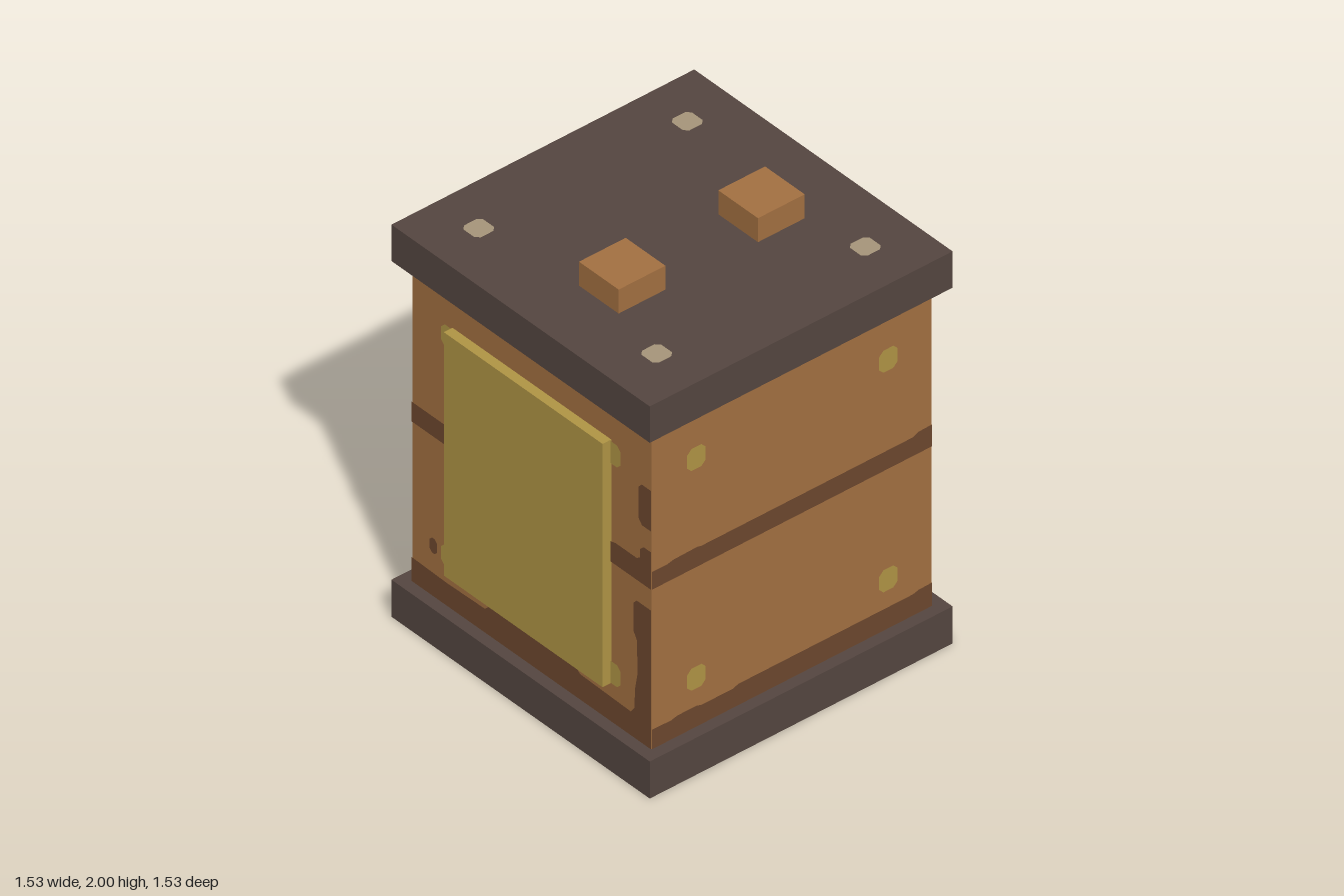
import * as THREE from 'three';

const mat = (name, color) => {
  const m = new THREE.MeshStandardMaterial({ color });
  m.name = name;
  return m;
};

export function createModel() {
  const wood = mat('wood', 0xa37041);
  const darkWood = mat('darkWood', 0x6d482e);
  const slate = mat('slate', 0x554640);
  const brass = mat('brass', 0xb09545);
  const glass = mat('glass', 0x4ec1c8);
  const stud = mat('stud', 0xa6957a);

  const model = new THREE.Group();
  model.name = 'crate';
  const H = 0.708; // half width of the body

  // Box given by its lower and upper corners
  const box = (parent, name, material, [x0, y0, z0], [x1, y1, z1]) => {
    const mesh = new THREE.Mesh(new THREE.BoxGeometry(x1 - x0, y1 - y0, z1 - z0), material);
    mesh.position.set((x0 + x1) / 2, (y0 + y1) / 2, (z0 + z1) / 2);
    mesh.name = name;
    parent.add(mesh);
  };

  // Flat painted patch from an outline, lying just above a face
  const patch = (parent, name, material, points, z = H + 0.003) => {
    const shape = new THREE.Shape(points.map(([x, y]) => new THREE.Vector2(x, y)));
    const mesh = new THREE.Mesh(new THREE.ShapeGeometry(shape), material);
    mesh.position.z = z;
    mesh.name = name;
    parent.add(mesh);
  };

  // Square outline with clipped corners
  const clipped = (x, y, w, h, c) => {
    const a = w / 2, b = h / 2;
    return [[-a + c, -b], [a - c, -b], [a, -b + c], [a, b - c],
      [a - c, b], [-a + c, b], [-a, b - c], [-a, -b + c]].map(([u, v]) => [x + u, y + v]);
  };

  const face = (name, angle) => {
    const g = new THREE.Group();
    g.name = name;
    g.rotation.y = angle;
    model.add(g);
    return g;
  };

  const rivets = (parent) => {
    for (const x of [-0.485, 0.485]) for (const y of [0.417, 1.473]) {
      patch(parent, 'rivet', brass, clipped(x, y, 0.094, 0.106, 0.022), H + 0.005);
    }
  };

  // Body with base and lid slabs
  box(model, 'body', wood, [-H, 0.17, -H], [H, 1.72, H]);
  box(model, 'base', slate, [-0.765, 0, -0.765], [0.765, 0.178, 0.765]);
  box(model, 'lid', slate, [-0.765, 1.71, -0.765], [0.765, 1.885, 0.765]);

  // Two knobs on the lid
  for (const x of [-0.352, 0.352]) {
    box(model, 'knob', wood, [x - 0.118, 1.88, 0], [x + 0.118, 2, 0.235]);
  }

  // Painted studs on the lid
  const lidTop = new THREE.Group();
  lidTop.name = 'lidStuds';
  lidTop.rotation.x = -Math.PI / 2;
  model.add(lidTop);
  for (const x of [-0.527, 0.527]) for (const y of [-0.527, 0.527]) {
    patch(lidTop, 'stud', stud, clipped(x, y, 0.1, 0.1, 0.018), 1.888);
  }

  // Front and back: dark belt and worn lower edge
  for (const [name, angle] of [['front', 0], ['back', Math.PI]]) {
    const f = face(name, angle);
    patch(f, 'belt', darkWood, [[-H, 0.945], [H, 0.945], [H, 1.05], [0.64, 1.048],
      [0.61, 1.035], [-0.46, 1.035], [-0.48, 1.04], [-0.6, 1.037], [-0.63, 1.03], [-H, 1.03]]);
    patch(f, 'lowerStain', darkWood, [[-H, 0.175], [H, 0.175], [H, 0.29], [0.64, 0.288],
      [0.61, 0.28], [-0.27, 0.28], [-0.3, 0.27], [-0.46, 0.27], [-0.48, 0.278],
      [-0.58, 0.278], [-0.61, 0.27], [-H, 0.272]]);
    rivets(f);
  }

  // Sides: same patches turned half round, plus a raised panel
  for (const [name, angle] of [['leftSide', Math.PI / 2], ['rightSide', -Math.PI / 2]]) {
    const f = face(name, angle);
    patch(f, 'belt', darkWood, [[-H, 0.945], [H, 0.945], [H, 1.125], [0.665, 1.125],
      [0.645, 1.105], [0.645, 1.065], [0.625, 1.05], [0.5, 1.05], [0.46, 1.04], [-H, 1.04]]);
    patch(f, 'lowerStain', darkWood, [[-H, 0.175], [H, 0.175], [H, 0.845], [0.625, 0.845],
      [0.605, 0.825], [0.605, 0.69], [0.625, 0.655], [0.63, 0.5], [0.615, 0.42], [0.61, 0.32],
      [0.59, 0.292], [0.29, 0.3], [0.262, 0.32], [0.262, 0.4], [-0.25, 0.4], [-0.25, 0.315],
      [-0.275, 0.292], [-0.5, 0.287], [-H, 0.293]]);
    patch(f, 'edgeStain', darkWood, [[0.655, 1.225], [H, 1.225], [H, 1.42], [0.655, 1.42],
      [0.635, 1.4], [0.635, 1.25]]);
    patch(f, 'spot', darkWood, clipped(-0.58, 0.42, 0.045, 0.072, 0.015));
    rivets(f);
    box(f, 'sidePanel', brass, [-0.47, 0.36, 0.7], [0.47, 1.53, 0.752]);
  }

  // Back window: brass frame plate with a glass pane
  box(model, 'windowFrame', brass, [-0.535, 0.31, -0.74], [0.535, 1.58, -0.7]);
  box(model, 'windowPane', glass, [-0.47, 0.38, -0.765], [0.47, 1.51, -0.73]);

  return model;
}
